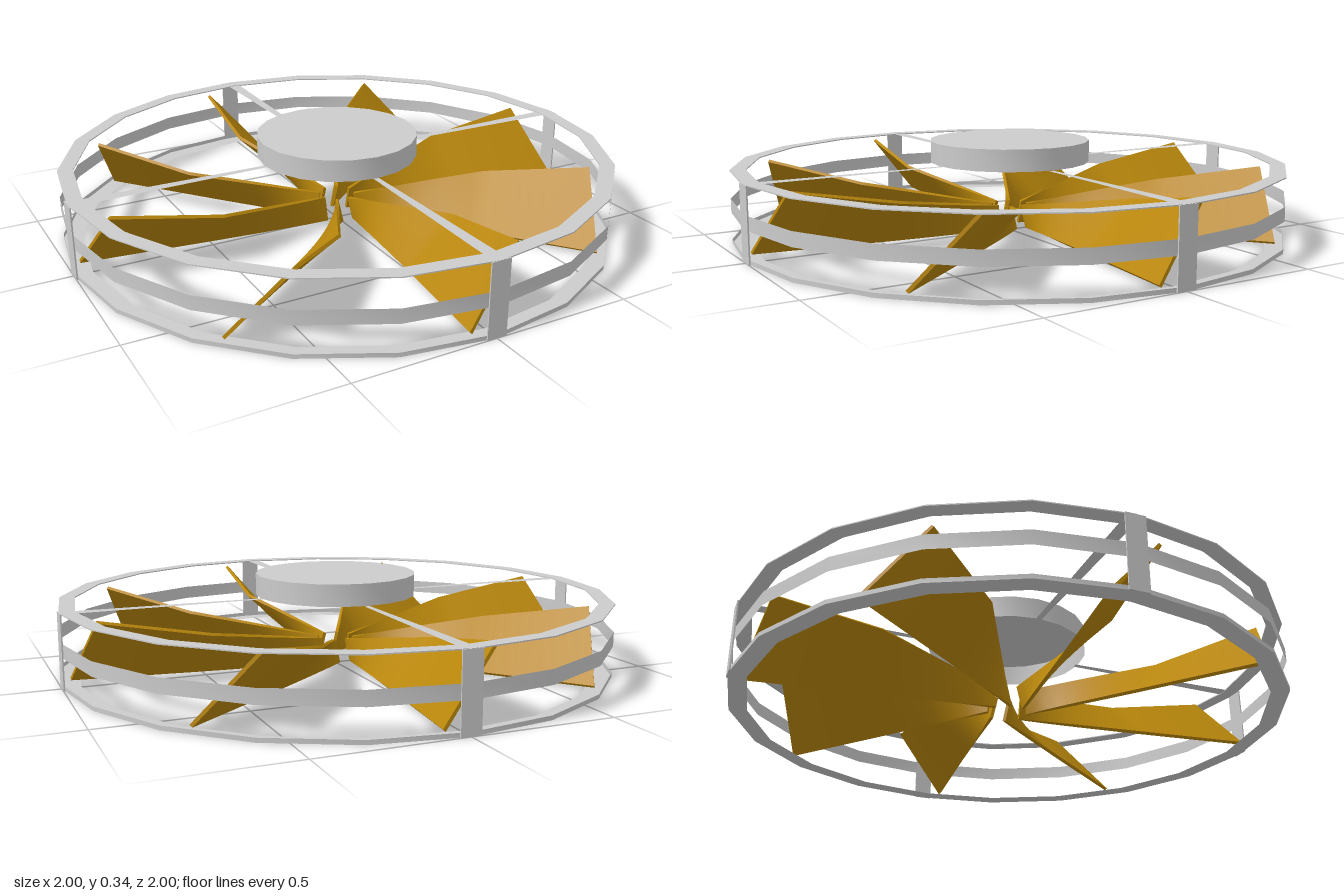
import * as THREE from 'three';
import { toCreasedNormals } from 'three/addons/utils/BufferGeometryUtils.js';

const SIDES = 20;
const CREASE = 0.5;
const grey = new THREE.MeshStandardMaterial({ color: 0xcccccc, side: THREE.DoubleSide });
const amber = new THREE.MeshStandardMaterial({ color: 0xb8860b });

function addMesh(parent, name, geometry, material) {
  const mesh = new THREE.Mesh(geometry, material);
  mesh.name = name;
  parent.add(mesh);
  return mesh;
}

// Profile given as [radius, height] pairs, turned around the y axis
function ring(profile) {
  const points = profile.map(([r, y]) => new THREE.Vector2(r, y));
  return toCreasedNormals(new THREE.LatheGeometry(points, SIDES), CREASE);
}

// Twisted blade along +z: each section is a thin strip from low edge to high edge
function bladeGeometry() {
  const sections = [
    { low: [0.038, 0.015, 0.06], high: [0.018, 0.1, 0.06] },
    { low: [-0.012, 0.015, 0.5], high: [0.163, 0.18, 0.52] },
    { low: [-0.067, 0.015, 0.96], high: [0.14, 0.247, 0.9] },
  ];
  const half = 0.006, steps = 10;
  const mix = (a, b, t) => a.map((v, k) => THREE.MathUtils.lerp(v, b[k], t));

  // Thicken each in-between section into a four-cornered loop
  const loops = [];
  for (let i = 0; i <= 2 * steps; i++) {
    const s = Math.min(Math.floor(i / steps), 1);
    const t = i / steps - s;
    const low = mix(sections[s].low, sections[s + 1].low, t);
    const high = mix(sections[s].high, sections[s + 1].high, t);
    const dx = high[0] - low[0], dy = high[1] - low[1];
    const k = half / Math.hypot(dx, dy);
    const shift = (p, side) => [p[0] - side * dy * k, p[1] + side * dx * k, p[2]];
    loops.push([shift(low, -1), shift(high, -1), shift(high, 1), shift(low, 1)]);
  }

  const pos = [];
  const quad = (a, b, c, d) => pos.push(...a, ...b, ...c, ...a, ...c, ...d);
  for (let i = 0; i < loops.length - 1; i++) {
    for (let j = 0; j < 4; j++) {
      const n = (j + 1) % 4;
      quad(loops[i][j], loops[i][n], loops[i + 1][n], loops[i + 1][j]);
    }
  }
  quad(...[...loops[0]].reverse());
  quad(...loops[loops.length - 1]);
  const geometry = new THREE.BufferGeometry();
  geometry.setAttribute('position', new THREE.Float32BufferAttribute(pos, 3));
  return toCreasedNormals(geometry, CREASE);
}

// Flat tapering spoke from hub to rim
function spokeGeometry() {
  const shape = new THREE.Shape([
    new THREE.Vector2(-0.01, 0.28), new THREE.Vector2(0.01, 0.28),
    new THREE.Vector2(0.024, 0.97), new THREE.Vector2(-0.024, 0.97),
  ]);
  return new THREE.ShapeGeometry(shape).rotateX(Math.PI / 2);
}

export function createModel() {
  const model = new THREE.Group();
  model.name = 'fan';

  // Rim: thin top ring, upright middle band, lower ring with a small lip
  addMesh(model, 'topRing', ring([[0.945, 0.257], [1, 0.257], [1, 0.261], [0.945, 0.261], [0.945, 0.257]]), grey);
  addMesh(model, 'middleBand', ring([[1, 0.11], [1, 0.16]]), grey);
  addMesh(model, 'bottomRing', ring([[0.935, 0], [1, 0], [1, 0.015]]), grey);

  // Hub cap, open underneath
  addMesh(model, 'hubCap', ring([[0.292, 0.262], [0.292, 0.34], [0, 0.34]]), grey);

  // Spokes and posts on the four axes
  const spoke = spokeGeometry();
  const post = new THREE.BoxGeometry(0.07, 0.26, 0.005).translate(0, 0.13, 0.9975);
  for (let i = 0; i < 4; i++) {
    const angle = (i * Math.PI) / 2;
    const s = addMesh(model, 'spoke', spoke, grey);
    s.position.y = 0.259;
    s.rotation.y = angle;
    addMesh(model, 'post', post, grey).rotation.y = angle;
  }

  // Eight blades
  const blade = bladeGeometry();
  for (let i = 0; i < 8; i++) {
    addMesh(model, 'blade', blade, amber).rotation.y = (i * Math.PI) / 4;
  }
  return model;
}
